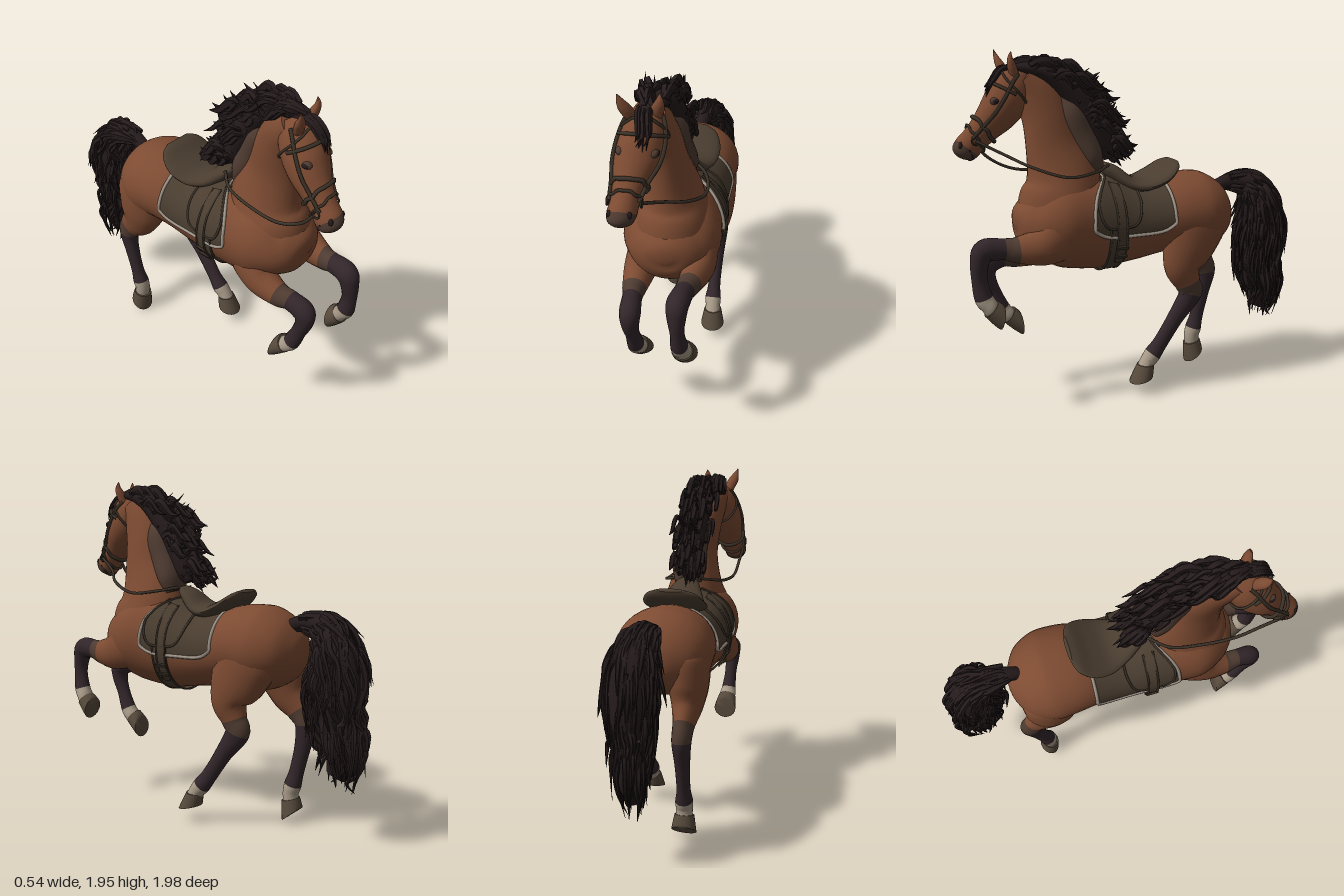
import * as THREE from 'three';
import { mergeGeometries, toCreasedNormals } from 'three/addons/utils/BufferGeometryUtils.js';

const V = (x, y, z) => new THREE.Vector3(x, y, z);
const SUB = 6;
const mat = (name, color, side = THREE.FrontSide) =>
  Object.assign(new THREE.MeshStandardMaterial({ color, side }), { name });

// Cross-sections along a path. Row: [x, y, z, half width, half depth, material index, optional tilt of the section]
function frames(rows, sub = SUB) {
  const out = [], n = rows.length;
  for (let i = 0; i < n - 1; i++) {
    const p = [rows[Math.max(i - 1, 0)], rows[i], rows[i + 1], rows[Math.min(i + 2, n - 1)]];
    for (let s = 0; s < sub + (i === n - 2 ? 1 : 0); s++) {
      const t = s / sub;
      const v = [0, 1, 2, 3, 4].map(k => {
        const [a, b, c, d] = p.map(r => r[k]);
        return 0.5 * (2 * b + (c - a) * t + (2 * a - 5 * b + 4 * c - d) * t * t + (3 * b - a - 3 * c + d) * t * t * t);
      });
      const f = { c: V(v[0], v[1], v[2]), a: Math.max(v[3], 0.001), b: Math.max(v[4], 0.001) };
      if (p[1].length > 6) {
        const tilt = p[1][6] + (p[2][6] - p[1][6]) * t;
        f.U = V(0, Math.sin(tilt), Math.cos(tilt));
      }
      out.push(f);
    }
  }
  out.forEach((f, i) => {
    const T = out[Math.min(i + 1, out.length - 1)].c.clone().sub(out[Math.max(i - 1, 0)].c);
    f.U ??= T.cross(V(1, 0, 0)).normalize();
  });
  return out;
}
const ringPoint = (f, th, off = 0) =>
  f.c.clone().addScaledVector(f.U, (f.b + off) * Math.sin(th)).add(V((f.a + off) * Math.cos(th), 0, 0));

function loftGeo(rows, sides = 20, sub = SUB) {
  const fs = frames(rows, sub), pos = [], idx = [], g = new THREE.BufferGeometry();
  fs.forEach(f => { for (let j = 0; j < sides; j++) pos.push(...ringPoint(f, j / sides * Math.PI * 2).toArray()); });
  const last = (fs.length - 1) * sides, c0 = pos.length / 3;
  pos.push(...fs[0].c.toArray(), ...fs[fs.length - 1].c.toArray());
  for (let i = 0; i < rows.length - 1; i++) {
    const start = idx.length;
    for (let j = 0; j < sides; j++) {
      const k = (j + 1) % sides;
      if (i === 0) idx.push(c0, k, j);
      for (let r = i * sub; r < (i + 1) * sub; r++) {
        const p = r * sides, q = p + sides;
        idx.push(p + j, p + k, q + k, p + j, q + k, q + j);
      }
      if (i === rows.length - 2) idx.push(c0 + 1, last + j, last + k);
    }
    g.addGroup(start, idx.length - start, rows[i][5] || 0);
  }
  g.setAttribute('position', new THREE.Float32BufferAttribute(pos, 3));
  g.setIndex(idx);
  return toCreasedNormals(g, 1);
}

export function createModel() {
  const root = new THREE.Group();
  const coat = mat('bay coat', 0x7d4b32), dark = mat('dark points', 0x32262a), hair = mat('black hair', 0x251b1c),
    sock = mat('pale sock', 0xa89a88), hoofM = mat('hoof', 0x574a3c), leather = mat('saddle leather', 0x4a3d30, THREE.DoubleSide),
    strapM = mat('strap leather', 0x3b3228), blend = mat('dark brown hair', 0x4e3b31), trim = mat('pad trim', 0xa0968a);
  const add = (name, geo, m) => {
    const o = new THREE.Mesh(geo, m); o.name = name; root.add(o); return o;
  };
  const loft = (name, rows, m, sides) => add(name, loftGeo(rows, sides), Array.isArray(m) ? m : [m]);
  const tube = (name, pts, r, m, closed = false) =>
    add(name, new THREE.TubeGeometry(new THREE.CatmullRomCurve3(pts, closed), pts.length * 5, r, 6, closed), m);
  let seed = 7;
  const rnd = (a = -1, b = 1) => { seed = (seed * 16807) % 2147483647; return a + (b - a) * seed / 2147483647; };

  // Trunk, neck and head
  const bodyRows = [
    [0, 1.01, -0.585, 0.02, 0.02], [0, 1.01, -0.567, 0.1, 0.09], [0, 1.01, -0.5, 0.205, 0.175], [0, 1.015, -0.38, 0.262, 0.232],
    [0, 1.025, -0.25, 0.262, 0.225], [0, 1.0, -0.1, 0.24, 0.21], [0, 0.982, 0.05, 0.234, 0.218], [0, 0.995, 0.2, 0.24, 0.257],
    [0, 1.015, 0.35, 0.25, 0.267], [0, 1.03, 0.49, 0.258, 0.25], [0, 1.035, 0.6, 0.215, 0.185], [0, 1.045, 0.665, 0.16, 0.14], [0, 1.05, 0.703, 0.105, 0.09], [0, 1.05, 0.722, 0.04, 0.035]];
  loft('trunk', bodyRows, coat, 36);
  loft('neck', [[0, 1.03, 0.44, 0.21, 0.265], [0, 1.14, 0.445, 0.205, 0.245], [0, 1.27, 0.44, 0.158, 0.208], [-0.012, 1.44, 0.478, 0.108, 0.162],
    [-0.035, 1.6, 0.515, 0.096, 0.135], [-0.06, 1.72, 0.57, 0.09, 0.115], [-0.078, 1.8, 0.64, 0.08, 0.085]], coat, 28);
  const headRows = [[-0.083, 1.84, 0.62, 0.045, 0.05], [-0.085, 1.785, 0.66, 0.092, 0.105], [-0.095, 1.695, 0.71, 0.115, 0.119],
    [-0.11, 1.615, 0.765, 0.112, 0.105], [-0.13, 1.545, 0.825, 0.086, 0.084], [-0.145, 1.485, 0.88, 0.069, 0.073],
    [-0.155, 1.435, 0.925, 0.07, 0.073, 1], [-0.16, 1.4, 0.95, 0.056, 0.06, 1], [-0.162, 1.383, 0.96, 0.02, 0.02]];
  loft('head', headRows, [coat, blend], 26);
  const headF = frames(headRows), headPt = (t, th, off = 0.006) => ringPoint(headF[Math.round(t * SUB)], th, off);
  loft('leftEar', [[-0.035, 1.81, 0.68, 0.03, 0.025], [-0.022, 1.87, 0.7, 0.032, 0.024], [-0.012, 1.91, 0.71, 0.02, 0.014], [-0.01, 1.945, 0.705, 0.002, 0.002]], coat, 12);
  loft('rightEar', [[-0.14, 1.81, 0.7, 0.03, 0.025], [-0.165, 1.87, 0.725, 0.034, 0.024], [-0.18, 1.91, 0.74, 0.022, 0.014], [-0.195, 1.95, 0.75, 0.002, 0.002]], coat, 12);
  for (const s of [1, -1]) {
    const side = a => (s > 0 ? a : Math.PI - a);
    const lid = add('eyelid', new THREE.SphereGeometry(0.028, 14, 10), blend);
    lid.position.copy(headPt(2.5, side(0.7), -0.014)); lid.scale.set(0.8, 0.8, 1.1);
    const eye = add('eye', new THREE.SphereGeometry(0.018, 14, 10), hair);
    eye.position.copy(headPt(2.55, side(0.62), -0.002)); eye.scale.set(0.6, 0.75, 1.1);
    const nostril = add('nostril', new THREE.SphereGeometry(0.016, 12, 8), hair);
    nostril.position.copy(headPt(6.2, side(0.75), -0.006)); nostril.scale.set(0.8, 1.3, 0.8);
  }
  tube('mouth', [0, 0.5, 1, 1.5, 2].map(k => headPt(7.3 - Math.abs(k - 1) * 1.3, -Math.PI * k / 2, -0.001)), 0.005, hair);

  // Legs (material order coat, blend, dark, sock), then hoof top and sole with their tilts
  const legMats = [coat, blend, dark, sock];
  const legs = {
    leftFront: [[[0.11, 1.06, 0.4, 0.07, 0.1], [0.15, 1.0, 0.48, 0.088, 0.14], [0.16, 0.935, 0.6, 0.085, 0.108], [0.13, 0.92, 0.74, 0.062, 0.073, 1],
      [0.115, 0.928, 0.81, 0.052, 0.058, 2], [0.098, 0.925, 0.91, 0.058, 0.063, 2], [0.096, 0.86, 0.94, 0.048, 0.05, 2],
      [0.1, 0.77, 0.945, 0.036, 0.043, 2], [0.108, 0.672, 0.928, 0.045, 0.05, 3], [0.115, 0.625, 0.9, 0.052, 0.046, 3], [0.118, 0.59, 0.88, 0.05, 0.045]],
    [0.118, 0.61, 0.893, 0.055, 0.052, 0, -0.8], [0.12, 0.555, 0.838, 0.07, 0.066, 0, -1.35]],
    rightFront: [[[-0.1, 1.0, 0.36, 0.07, 0.1], [-0.14, 0.94, 0.44, 0.088, 0.14], [-0.16, 0.85, 0.54, 0.088, 0.105], [-0.17, 0.81, 0.67, 0.065, 0.07, 1],
      [-0.165, 0.81, 0.75, 0.052, 0.058, 2], [-0.16, 0.78, 0.835, 0.056, 0.063, 2], [-0.16, 0.71, 0.845, 0.047, 0.05, 2],
      [-0.157, 0.62, 0.815, 0.037, 0.042, 2], [-0.152, 0.515, 0.772, 0.045, 0.048, 3], [-0.15, 0.475, 0.74, 0.052, 0.046, 3], [-0.15, 0.445, 0.71, 0.05, 0.045]],
    [-0.15, 0.468, 0.727, 0.055, 0.052, 0, -0.9], [-0.148, 0.405, 0.66, 0.07, 0.063, 0, -1.6]],
    leftHind: [[[0.08, 1.12, -0.36, 0.1, 0.1], [0.13, 1.02, -0.33, 0.12, 0.19], [0.147, 0.86, -0.265, 0.115, 0.17], [0.165, 0.73, -0.22, 0.085, 0.115],
      [0.168, 0.63, -0.25, 0.058, 0.078, 1], [0.168, 0.56, -0.27, 0.052, 0.072, 2], [0.166, 0.43, -0.18, 0.041, 0.05, 2],
      [0.165, 0.29, -0.085, 0.037, 0.045, 2], [0.165, 0.22, -0.03, 0.048, 0.05, 3], [0.168, 0.185, 0, 0.045, 0.045, 3], [0.17, 0.15, 0.02, 0.048, 0.045]],
    [0.17, 0.17, 0.015, 0.052, 0.05, 0, 0.05], [0.172, 0.085, 0.045, 0.07, 0.07, 0, -0.22]],
    rightHind: [[[-0.08, 1.12, -0.38, 0.1, 0.1], [-0.13, 1.02, -0.37, 0.12, 0.17], [-0.143, 0.86, -0.385, 0.11, 0.16], [-0.145, 0.75, -0.42, 0.085, 0.12],
      [-0.142, 0.66, -0.49, 0.058, 0.085, 1], [-0.14, 0.58, -0.53, 0.052, 0.068, 2], [-0.14, 0.45, -0.51, 0.041, 0.048, 2],
      [-0.138, 0.3, -0.475, 0.037, 0.043, 2], [-0.136, 0.22, -0.453, 0.048, 0.05, 3], [-0.135, 0.17, -0.44, 0.046, 0.046, 3], [-0.135, 0.11, -0.445, 0.045, 0.045]],
    [-0.135, 0.135, -0.44, 0.054, 0.053, 0, -0.25], [-0.135, 0.046, -0.452, 0.07, 0.07, 0, -0.66]]
  };
  for (const [name, [rows, top, sole]] of Object.entries(legs)) {
    loft(name + 'Leg', rows, legMats, 20);
    loft(name + 'Hoof', [top, sole], hoofM, 20);
  }

  // Hair locks: tapered strands merged into one mesh
  const lock = (pts, w) => loftGeo(pts.map((p, i) => {
    const k = [0.8, 1, 0.75, 0.05][Math.round(i * 3 / (pts.length - 1))];
    return [p.x, p.y, p.z, w * k, w * k * 1.2];
  }), 5, 4);
  const crestRows = [[-0.08, 1.85, 0.74, 0.025, 0.02], [-0.06, 1.86, 0.63, 0.06, 0.03], [-0.035, 1.82, 0.49, 0.075, 0.055],
    [-0.022, 1.71, 0.36, 0.078, 0.075], [-0.015, 1.57, 0.27, 0.075, 0.08], [-0.008, 1.43, 0.2, 0.062, 0.07], [0, 1.36, 0.17, 0.03, 0.03]];
  loft('maneCore', crestRows, hair, 14);
  loft('maneRoots', [[-0.035, 1.72, 0.46, 0.02, 0.03], [-0.015, 1.63, 0.4, 0.08, 0.075], [0, 1.5, 0.345, 0.088, 0.085], [0.01, 1.38, 0.29, 0.1, 0.075], [0.01, 1.3, 0.26, 0.08, 0.05]], blend, 16);
  const crest = frames(crestRows), mane = [];
  for (let i = 0; i < 135; i++) {
    const t = i / 134, f = crest[3 + Math.floor(t * (crest.length - 5))];
    const p = ringPoint(f, rnd(0, Math.PI * 2), -0.01), L = rnd(0.12, 0.28) * (1 - 0.58 * t), dx = rnd(-0.05, 0.035);
    const lift = rnd(-0.03, 0.06);
    mane.push(lock([p, p.clone().add(V(dx, 0.025, -L * 0.35)), p.clone().add(V(dx * 1.2, -L * 0.25, -L * 0.75)),
      p.clone().add(V(dx * 1.3, -L * (0.15 + 0.35 * t) + lift, -L * 1.1))], rnd(0.012, 0.023)));
  }
  for (let i = 0; i < 10; i++) {
    const x = -0.08 + rnd(-0.03, 0.03), e = rnd(1.7, 1.77);
    mane.push(lock([V(x, 1.86, 0.68), V(x, 1.855, 0.745), V(x + 0.01, 1.79, 0.8), V(x + rnd(-0.02, 0.02), e, 0.83)], 0.013));
  }
  add('maneLocks', mergeGeometries(mane), hair);
  const tailRows = [[0.01, 1.14, -0.49, 0.03, 0.035], [0.015, 1.175, -0.6, 0.05, 0.045], [0.03, 1.15, -0.74, 0.09, 0.075], [0.04, 1.02, -0.8, 0.118, 0.115],
    [0.045, 0.83, -0.805, 0.122, 0.145], [0.045, 0.66, -0.795, 0.09, 0.13], [0.04, 0.5, -0.845, 0.07, 0.11], [0.03, 0.37, -0.8, 0.03, 0.06]];
  loft('tailCore', tailRows, hair, 18);
  const tailF = frames(tailRows), tail = [];
  for (let i = 0; i < 140; i++) {
    const th = rnd(0, Math.PI * 2), s = rnd(4, 29), len = rnd(10, 17), w = rnd(0.009, 0.018), out = rnd(0, 0.045);
    tail.push(lock([0, 1, 2, 3, 4, 5].map(k => {
      const f = tailF[Math.min(Math.floor(s + len * k / 5), tailF.length - 1)];
      const wave = Math.sin(k * 1.6 + i) * 0.012, tip = k > 4 ? 1 : 0;
      return ringPoint(f, th, -0.006 + out * k / 5).add(V(wave, tip * rnd(-0.08, 0), wave * 1.4 + tip * rnd(-0.03, 0.03)));
    }), w));
  }
  add('tailLocks', mergeGeometries(tail), hair);

  // Tack wrapped on the trunk: grid over length u and angle v
  const bodyF = frames(bodyRows);
  const bodyAt = z => {
    const i = Math.max(1, bodyF.findIndex(f => f.c.z >= z)), p = bodyF[i - 1], q = bodyF[i], k = (z - p.c.z) / (q.c.z - p.c.z);
    const mix = (m, n) => m + (n - m) * k;
    return { c: V(0, mix(p.c.y, q.c.y), z), U: V(0, 1, 0), a: mix(p.a, q.a), b: mix(p.b, q.b) };
  };
  const angleAt = (z, y) => { const f = bodyAt(z); return Math.asin(THREE.MathUtils.clamp((y - f.c.y) / f.b, -1, 1)); };
  function wrap(name, point, m, nu = 20, nv = 48) {
    const pos = [], idx = [];
    for (let i = 0; i <= nu; i++) for (let j = 0; j <= nv; j++) {
      pos.push(...point(i / nu, j / nv).toArray());
      const p = i * (nv + 1) + j, q = p + nv + 1;
      if (i < nu && j < nv) idx.push(p, p + 1, q + 1, p, q + 1, q);
    }
    const g = new THREE.BufferGeometry();
    g.setAttribute('position', new THREE.Float32BufferAttribute(pos, 3));
    g.setIndex(idx); g.computeVertexNormals();
    return add(name, g, m);
  }
  const sheet = (z0, z1, slope, yLow, round, off) => (u, v) => {
    const zb = z0 + (z1 - z0) * u, lo = angleAt(zb, yLow + round * Math.pow(Math.abs(2 * u - 1), 5));
    const th = lo + (Math.PI - 2 * lo) * v, up = Math.max(0, Math.sin(th));
    return ringPoint(bodyAt(zb - slope * u * up ** 3), th, off);
  };
  const padPt = sheet(-0.135, 0.345, 0.13, 0.96, 0.05, 0.007), flapPt = sheet(0.05, 0.33, 0.12, 1.01, 0.13, 0.016);
  wrap('saddlePad', padPt, leather);
  wrap('saddleFlaps', flapPt, leather);
  const edge = (pt, v0, v1) => [
    ...Array.from({ length: 9 }, (_, k) => pt(0, v0 + (v1 - v0) * (1 - k / 8))),
    ...Array.from({ length: 17 }, (_, k) => pt((k + 0.5) / 17.5, v0)),
    ...Array.from({ length: 9 }, (_, k) => pt(1, v0 + (v1 - v0) * k / 8))];
  for (const v of [0, 1]) {
    tube('padTrim', edge(padPt, v, 0.5), 0.01, trim);
    tube('flapEdge', edge(flapPt, v, 0.5), 0.007, strapM);
    const s = v ? -1 : 1, strapAng = y => (s > 0 ? angleAt(0.19, y) : Math.PI - angleAt(0.19, y));
    wrap('stirrupStrap', (u, w) => ringPoint(bodyAt(0.165 + 0.05 * u), strapAng(1.22 - 0.4 * w), 0.022), leather, 2, 20);
    for (const du of [0.163, 0.217])
      tube('stirrupStrapEdge', [1.22, 1.12, 1.02, 0.92, 0.83].map(y => ringPoint(bodyAt(du), strapAng(y), 0.022)), 0.006, strapM);
    for (const y of [0.86, 0.91]) {
      const b = add('girthBuckle', new THREE.BoxGeometry(0.012, 0.018, 0.07), strapM);
      b.position.copy(ringPoint(bodyAt(0.19), strapAng(y), 0.026)); b.rotation.z = -s * 0.5;
    }
  }
  wrap('girth', (u, v) => ringPoint(bodyAt(0.165 + 0.09 * u), -Math.PI / 2 + v * Math.PI * 2, 0.009), leather, 4, 64);
  for (const z of [0.165, 0.255])
    tube('girthEdge', Array.from({ length: 24 }, (_, k) => ringPoint(bodyAt(z), k / 24 * Math.PI * 2, 0.009)), 0.006, strapM, true);
  loft('saddleSeat', [[0, 1.325, -0.225, 0.08, 0.012], [0, 1.295, -0.195, 0.145, 0.03], [0, 1.24, -0.12, 0.178, 0.04], [0, 1.205, -0.02, 0.168, 0.04],
    [0, 1.215, 0.07, 0.13, 0.045], [0, 1.275, 0.15, 0.09, 0.045], [0, 1.315, 0.2, 0.06, 0.025], [0, 1.325, 0.22, 0.02, 0.008]], leather, 24);

  // Bridle and reins
  const ring = (name, t, r, tilt = 0) => tube(name, Array.from({ length: 16 }, (_, k) => {
    const th = k / 16 * Math.PI * 2; return headPt(t + tilt * Math.sin(th), th);
  }), r, strapM, true);
  ring('noseband', 4.2, 0.011, -0.2);
  ring('lowerNoseband', 5, 0.008, -0.3);
  ring('throatStrap', 1.5, 0.007, -0.5);
  tube('browband', Array.from({ length: 9 }, (_, k) => headPt(1.6, Math.PI * k / 8)), 0.01, strapM);
  for (const s of [1, -1]) {
    const th = s > 0 ? 0.1 : Math.PI - 0.1, bit = headPt(5.2, th, 0.012);
    tube('cheekStrap', [0.6, 1.2, 2, 3, 4, 5.2].map(t => headPt(t, th + s * 0.25)), 0.01, strapM);
    const r = add('bitRing', new THREE.TorusGeometry(0.02, 0.005, 6, 18), strapM);
    r.position.copy(bit); r.rotation.y = Math.PI / 2;
    tube('rein', s > 0
      ? [bit, V(0.0, 1.41, 0.76), V(0.11, 1.35, 0.64), V(0.175, 1.295, 0.46), V(0.15, 1.31, 0.3), V(0.07, 1.33, 0.2)]
      : [bit, V(-0.205, 1.37, 0.8), V(-0.2, 1.3, 0.66), V(-0.18, 1.29, 0.46), V(-0.15, 1.31, 0.3), V(-0.07, 1.33, 0.2)], 0.009, strapM);
  }
  return root;
}
